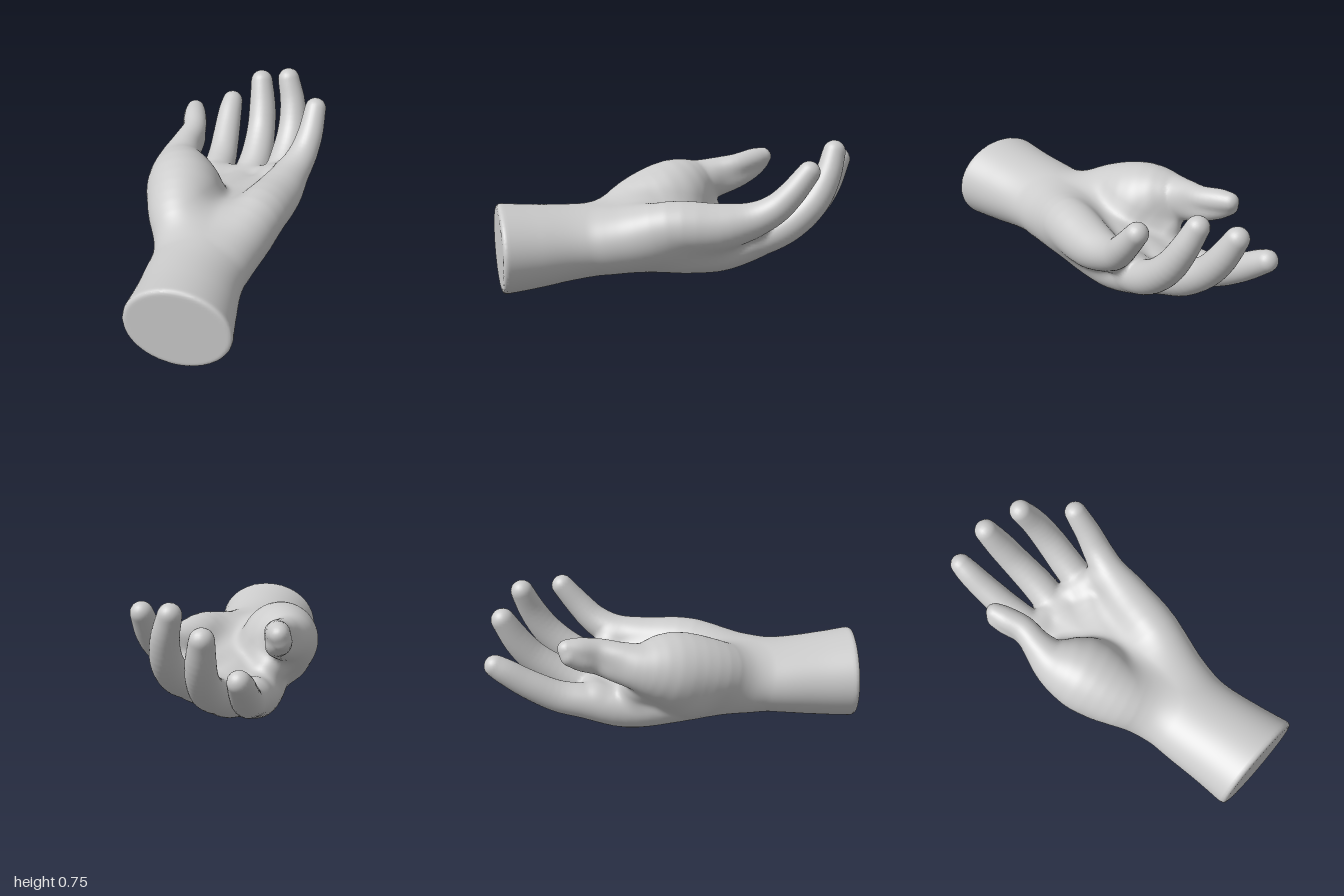
import * as THREE from 'three';

const V = (x, y, z) => new THREE.Vector3(x, y, z);
const STEP = 0.0145;

// Limbs: rows of [x, y, z, radius], running from the wrist to the tip
const LIMBS = {
  indexFinger: [[-0.09, 0.21, 0.4, 0.12], [-0.15, 0.165, 0, 0.122], [-0.157, 0.145, -0.25, 0.122], [-0.176, 0.185, -0.47, 0.096],
    [-0.185, 0.22, -0.62, 0.085], [-0.2, 0.3, -0.77, 0.077], [-0.21, 0.375, -0.88, 0.069], [-0.212, 0.415, -0.94, 0.06]],
  middleFinger: [[-0.02, 0.22, 0.4, 0.12], [-0.02, 0.165, 0, 0.125], [-0.015, 0.138, -0.23, 0.132], [0.01, 0.185, -0.45, 0.1],
    [0.025, 0.25, -0.6, 0.093], [0.018, 0.35, -0.74, 0.084], [0.003, 0.46, -0.83, 0.078], [-0.023, 0.598, -0.905, 0.064]],
  ringFinger: [[0.08, 0.24, 0.4, 0.12], [0.12, 0.21, 0, 0.125], [0.14, 0.215, -0.22, 0.125], [0.195, 0.25, -0.42, 0.096],
    [0.214, 0.32, -0.56, 0.09], [0.219, 0.43, -0.68, 0.083], [0.2, 0.56, -0.76, 0.073], [0.16, 0.69, -0.81, 0.062]],
  littleFinger: [[0.12, 0.26, 0.4, 0.135], [0.21, 0.335, 0.12, 0.145], [0.268, 0.342, -0.13, 0.128], [0.305, 0.378, -0.3, 0.097],
    [0.34, 0.44, -0.42, 0.081], [0.361, 0.53, -0.51, 0.071], [0.366, 0.642, -0.6, 0.06]],
  thumb: [[-0.1, 0.27, 0.38, 0.14], [-0.18, 0.34, 0.2, 0.178], [-0.235, 0.395, 0, 0.19], [-0.295, 0.445, -0.15, 0.115],
    [-0.3, 0.49, -0.27, 0.08], [-0.286, 0.523, -0.39, 0.066], [-0.311, 0.543, -0.49, 0.063], [-0.328, 0.555, -0.555, 0.051]],
  thumbPad: [[-0.25, 0.36, 0, 0.15], [-0.305, 0.4, -0.15, 0.1], [-0.3, 0.42, -0.28, 0.074], [-0.287, 0.455, -0.39, 0.064],
    [-0.318, 0.49, -0.48, 0.061], [-0.34, 0.52, -0.54, 0.052]],
  thumbWeb: [[-0.235, 0.25, 0.1, 0.125], [-0.185, 0.34, 0.02, 0.165], [-0.185, 0.32, -0.09, 0.115], [-0.21, 0.28, -0.2, 0.08]],
  palmPad: [[-0.17, 0.21, -0.42, 0.075], [0, 0.205, -0.44, 0.075], [0.14, 0.25, -0.41, 0.075], [0.26, 0.345, -0.34, 0.072]],
};
// Forearm and palm core: [centre x, centre y, radius x, radius y] every 0.2 from z = 1 back
const CORE = [[0.038, 0.236, 0.288, 0.238], [0.022, 0.232, 0.268, 0.218], [0.006, 0.236, 0.257, 0.198], [0.01, 0.245, 0.26, 0.188],
  [0.03, 0.25, 0.268, 0.183], [0.035, 0.212, 0.255, 0.166], [0.035, 0.185, 0.235, 0.14], [0.03, 0.188, 0.2, 0.095]];

const smin = (a, b, k) => {
  const h = Math.max(k - Math.abs(a - b), 0) / k;
  return Math.min(a, b) - h * h * k / 4;
};

// Smooth curve through the rows, sampled as a chain of tapered segments
function sampleLimb(rows) {
  const path = new THREE.CatmullRomCurve3(rows.map(r => V(r[0], r[1], r[2])), false, 'catmullrom');
  const size = new THREE.CatmullRomCurve3(rows.map((r, i) => V(i, r[3], 0)), false, 'catmullrom');
  const n = (rows.length - 1) * 4;
  return Array.from({ length: n }, (_, i) => {
    const a = path.getPoint(i / n), d = path.getPoint((i + 1) / n).sub(a);
    const ra = size.getPoint(i / n).y, dr = size.getPoint((i + 1) / n).y - ra;
    const lean = dr / Math.sqrt(Math.max(1e-6, d.lengthSq() - dr * dr)) / d.length();
    return [a.x, a.y, a.z, d.x, d.y, d.z, 1 / d.lengthSq(), ra, dr, lean];
  });
}

// Distance to the cones: the nearest axis point leans towards the thick end
function limbDistance(chain, x, y, z) {
  let best = 9;
  for (const [ax, ay, az, dx, dy, dz, inv, ra, dr, lean] of chain) {
    const px = x - ax, py = y - ay, pz = z - az;
    const dot = px * dx + py * dy + pz * dz;
    const off = Math.sqrt(Math.max(0, px * px + py * py + pz * pz - dot * dot * inv));
    const t = Math.min(1, Math.max(0, dot * inv + off * lean));
    const qx = px - t * dx, qy = py - t * dy, qz = pz - t * dz;
    best = Math.min(best, Math.sqrt(qx * qx + qy * qy + qz * qz) - ra - t * dr);
  }
  return best;
}

// Elliptical core, ending softly inside the knuckles
function makeCore() {
  const centre = new THREE.CatmullRomCurve3(CORE.map((r, i) => V(r[0], r[1], i)), false, 'catmullrom');
  const radius = new THREE.CatmullRomCurve3(CORE.map((r, i) => V(r[2], r[3], i)), false, 'catmullrom');
  const N = 140;
  const table = Array.from({ length: N + 1 }, (_, i) => [centre.getPoint(i / N), radius.getPoint(i / N)]);
  return (x, y, z) => {
    const f = Math.min(N - 1e-6, Math.max(0, (1 - z) / 1.4 * N)), i = Math.floor(f), t = f - i;
    const mix = (k, a) => table[i][k][a] * (1 - t) + table[i + 1][k][a] * t;
    const rx = mix(1, 'x'), ry = mix(1, 'y');
    const u = (x - mix(0, 'x')) / rx, v = (y - mix(0, 'y')) / ry;
    const k0 = Math.hypot(u, v), k1 = Math.hypot(u / rx, v / ry) + 1e-6;
    return -smin(-k0 * (k0 - 1) / k1, z + 0.43, 0.06);
  };
}

export function createModel() {
  const names = Object.keys(LIMBS), chains = names.map(n => sampleLimb(LIMBS[n])), core = makeCore();

  // Blended field: broad blends across the palm, tight ones between the fingers, flat cut at the wrist
  const field = (x, y, z) => {
    const k = 0.014 + 0.06 * THREE.MathUtils.smoothstep(z, -0.52, -0.15);
    let d = core(x, y, z);
    for (const c of chains) d = smin(d, limbDistance(c, x, y, z), k);
    return -smin(-d, 1 - z, 0.03);
  };

  // Sample the field on a grid
  const min = [-0.48, -0.05, -1.05], max = [0.48, 0.8, 1.04];
  const dim = min.map((m, a) => Math.ceil((max[a] - m) / STEP) + 1);
  const stride = [1, dim[0], dim[0] * dim[1]];
  const F = new Float32Array(stride[2] * dim[2]);
  const eachCell = (fn) => {
    for (let k = 0; k < dim[2]; k++) for (let j = 0; j < dim[1]; j++) for (let i = 0; i < dim[0]; i++) {
      fn([i, j, k], i + j * stride[1] + k * stride[2]);
    }
  };
  const at = (g) => g.map((n, a) => min[a] + n * STEP);
  eachCell((g, id) => { F[id] = field(...at(g)); });

  // One vertex in each cell the surface crosses, at the mean of its edge crossings
  const corners = Array.from({ length: 8 }, (_, c) => [c & 1, (c >> 1) & 1, c >> 2]);
  const vertex = new Int32Array(F.length).fill(-1), pos = [], nor = [];
  eachCell((g, id) => {
    if (g.some((n, a) => n >= dim[a] - 1)) return;
    const sum = [0, 0, 0];
    let count = 0;
    for (const c of corners) for (let a = 0; a < 3; a++) {
      if (c[a]) continue;
      const p = id + c[0] + c[1] * stride[1] + c[2] * stride[2], f0 = F[p], f1 = F[p + stride[a]];
      if ((f0 < 0) === (f1 < 0)) continue;
      for (let b = 0; b < 3; b++) sum[b] += c[b] + (b === a ? f0 / (f0 - f1) : 0);
      count++;
    }
    if (!count) return;
    const [x, y, z] = at(g.map((n, a) => n + sum[a] / count)), e = 0.01;
    const n = V(field(x + e, y, z) - field(x - e, y, z), field(x, y + e, z) - field(x, y - e, z),
      field(x, y, z + e) - field(x, y, z - e)).normalize();
    vertex[id] = pos.length / 3;
    pos.push(x, y, z);
    nor.push(n.x, n.y, n.z);
  });

  // Sort faces into named parts
  const partAt = (x, y, z) => {
    if (z > 0.36) return 'forearm';
    let best = core(x, y, z), name = 'palm';
    chains.forEach((c, i) => {
      const d = limbDistance(c, x, y, z);
      if (d < best) { best = d; name = names[i]; }
    });
    if (name.startsWith('thumb') && name !== 'thumbWeb') return 'thumb';
    return !name.endsWith('Finger') || z > (name === 'littleFinger' ? -0.32 : -0.42) ? 'palm' : name;
  };
  const parts = {};
  eachCell((g, id) => {
    for (let a = 0; a < 3; a++) {
      if (g.some((n, b) => n < 1 || n >= dim[b] - 1)) continue;
      const inside = F[id] < 0;
      if (inside === (F[id + stride[a]] < 0)) continue;
      const sb = stride[(a + 1) % 3], sc = stride[(a + 2) % 3];
      const q = [id, id - sb, id - sb - sc, id - sc].map(c => vertex[c]);
      if (!inside) q.reverse();
      const name = partAt(...at(g));
      (parts[name] ??= []).push(q[0], q[1], q[2], q[0], q[2], q[3]);
    }
  });

  const hand = new THREE.Group();
  hand.name = 'hand';
  const material = new THREE.MeshStandardMaterial({ color: 0xcccccc });
  for (const [name, index] of Object.entries(parts)) {
    const shared = new THREE.BufferGeometry();
    shared.setAttribute('position', new THREE.Float32BufferAttribute(pos, 3));
    shared.setAttribute('normal', new THREE.Float32BufferAttribute(nor, 3));
    shared.setIndex(index);
    const mesh = new THREE.Mesh(shared.toNonIndexed(), material);
    mesh.name = name;
    hand.add(mesh);
  }
  return hand;
}
